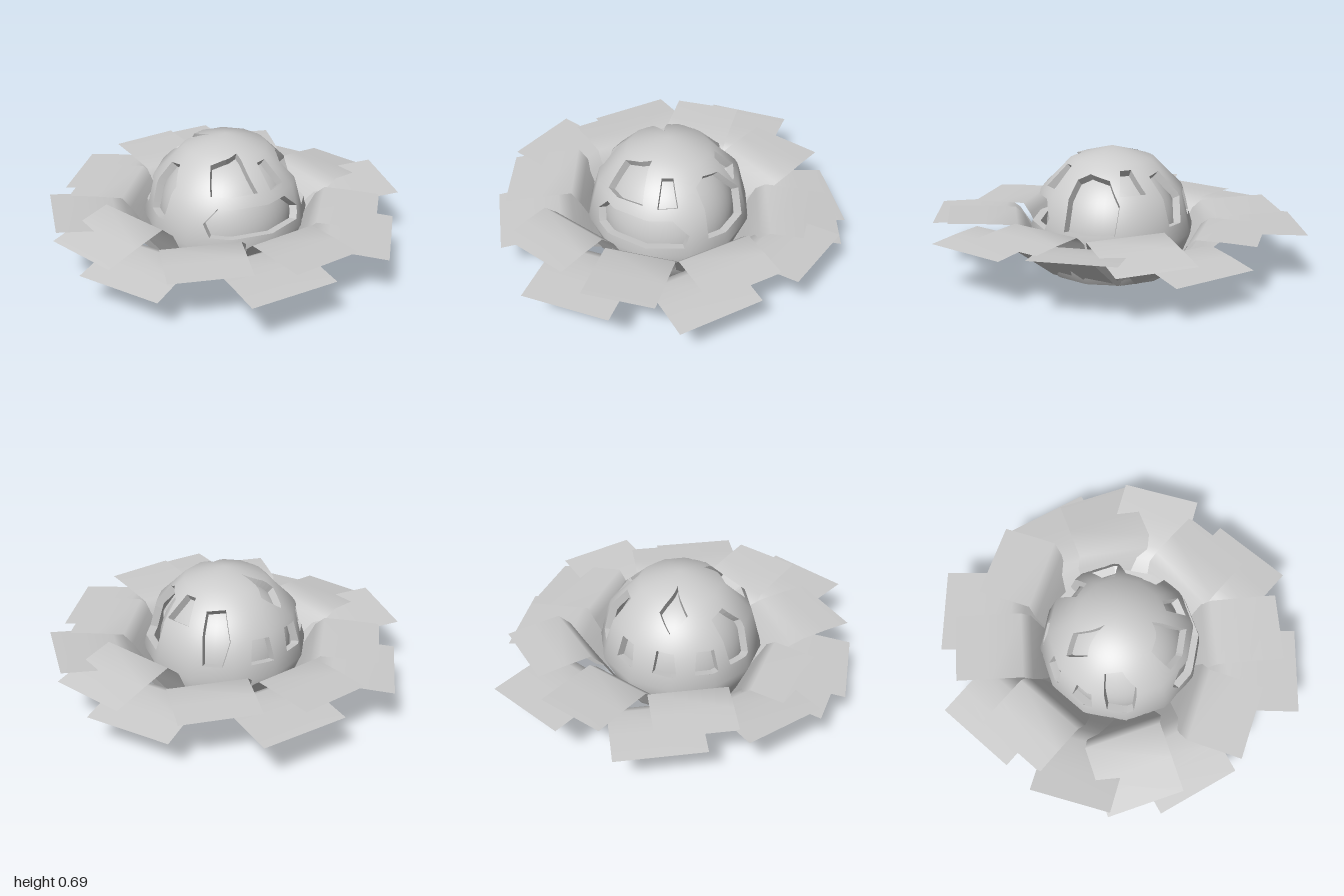
import * as THREE from 'three';

const RAD = Math.PI / 180;
const { lerp, clamp } = THREE.MathUtils;
const CENTRE = { y: 0.23, z: 0.02 };

// Dome rings from base to crown: latitude, radius, height
const RINGS = [[-30, 0.36, 0], [0, 0.455, 0.23], [30, 0.394, 0.457], [60, 0.228, 0.624], [90, 0, 0.685]];

// Window outlines as [azimuth from the front, latitude] in degrees
const box = (a) => [[a - 9, 10], [a + 9, 10], [a + 7, 27], [a - 7, 27]];
const WINDOWS = [
  [[-45, 6], [27, 6], [31, 15], [19, 26], [-40, 26], [-50, 15]],          // wide front
  [[46, 8], [84, 8], [88, 28], [80, 47], [58, 52], [45, 46], [46, 25]],   // tall, left side
  [[7, 34], [24, 35], [22, 55], [8, 55]],                                 // small upper front
  [[-46, 34], [-6, 35], [-14, 67], [-52, 56]],                            // large upper front
  [[88, 35], [112, 35], [106, 55], [92, 55]],                             // upper left side
  [[128, 10], [142, 10], [148, 28], [145, 50], [125, 48]],                // tall, back left
  [[-153, 40], [-135, 52], [-151, 77], [-168, 53]],                       // diamond at the back
  [[-104, 10], [-84, 10], [-80, 35], [-92, 50], [-110, 46]],              // tall, right side
  box(172), box(-155), box(-124),                                         // low back row
];

// Point on the twelve-sided dome
function domePoint(az, lat, scale) {
  const i = clamp(Math.floor((lat + 30) / 30), 0, 3);
  const t = (lat - RINGS[i][0]) / 30;
  const r = lerp(RINGS[i][1], RINGS[i + 1][1], t) * scale;
  const y = lerp(RINGS[i][2], RINGS[i + 1][2], t);
  const a0 = Math.floor(az / 30) * 30, f = (az - a0) / 30;
  const s = lerp(Math.sin(a0 * RAD), Math.sin((a0 + 30) * RAD), f);
  const c = lerp(Math.cos(a0 * RAD), Math.cos((a0 + 30) * RAD), f);
  const h = lat < 0 ? y : CENTRE.y + (y - CENTRE.y) * scale;
  return new THREE.Vector3(r * s, h, r * c + CENTRE.z);
}

// Halve triangles at their longest edge until all edges are short
function subdivide(tris, limit) {
  const out = [], stack = [...tris];
  while (stack.length) {
    let [a, b, c] = stack.pop();
    const ab = a.distanceToSquared(b), bc = b.distanceToSquared(c), ca = c.distanceToSquared(a);
    const longest = Math.max(ab, bc, ca);
    if (longest <= limit * limit) {
      out.push([a, b, c]);
      continue;
    }
    if (longest === bc) [a, b, c] = [b, c, a];
    else if (longest === ca) [a, b, c] = [c, a, b];
    const m = a.clone().add(b).multiplyScalar(0.5);
    stack.push([a, m, c], [m, b, c]);
  }
  return out;
}

// Thick shell: a flat map with window holes, extruded and wrapped round the dome
function shellGeometry() {
  const outline = [];
  for (let a = -172; a <= 188; a += 30) outline.push(new THREE.Vector2(a, -30));
  for (let a = 188; a >= -172; a -= 30) outline.push(new THREE.Vector2(a, 90));
  const shape = new THREE.Shape(outline);
  for (const w of WINDOWS) shape.holes.push(new THREE.Path(w.map(([a, l]) => new THREE.Vector2(a, l))));
  const flat = new THREE.ExtrudeGeometry(shape, { depth: 1, bevelEnabled: false });
  const src = flat.attributes.position;
  let tris = [];
  for (let i = 0; i < src.count; i += 3) {
    tris.push([0, 1, 2].map((k) => new THREE.Vector3().fromBufferAttribute(src, i + k)));
  }
  tris = subdivide(tris, 5);
  const points = tris.flat().map((p) => domePoint(p.x, p.y, 0.9 + 0.1 * p.z));
  const geo = new THREE.BufferGeometry().setFromPoints(points);
  geo.computeVertexNormals();

  // Smooth the outer and inner skins, keep the window reveals sharp
  const normal = geo.attributes.normal, out = new THREE.Vector3();
  tris.forEach(([a, b, c], t) => {
    if (a.z !== b.z || b.z !== c.z) return;
    for (let i = t * 3; i < t * 3 + 3; i++) {
      const p = points[i];
      out.set(p.x, p.y - CENTRE.y, p.z - CENTRE.z).normalize().multiplyScalar(a.z > 0.5 ? 1 : -1);
      normal.setXYZ(i, out.x, out.y, out.z);
    }
  });
  return geo;
}

// Petal: a pointed foot at the base, rising to the bend and running out to the tip
function petalGeometry([cx, cz, az, width, crease, tip], bend) {
  const dx = Math.sin(az * RAD), dz = Math.cos(az * RAD);
  const reach = cx * dx + cz * dz;
  const side = cx * dz - cz * dx;
  const foot = 0.34;
  const profile = [
    [foot, 0], [lerp(foot, bend, 0.4), crease * 0.45], [lerp(foot, bend, 0.74), crease * 0.85],
    [bend, crease], [(bend + reach) / 2, (crease + tip) / 2 + 0.003], [reach, tip],
  ];
  const geo = new THREE.PlaneGeometry(width, 1, 1, profile.length - 1);
  const pos = geo.attributes.position;
  for (let i = 0; i < pos.count; i++) {
    const [d, y] = profile[profile.length - 1 - Math.floor(i / 2)];
    const t = clamp((d - foot) / (bend - foot), 0, 1);
    const s = side * lerp(0.4, 1, t) + pos.getX(i) * lerp(0.3, 1, Math.min(1, t * 1.8));
    pos.setXYZ(i, dx * d + dz * s, y, dz * d - dx * s);
  }
  geo.computeVertexNormals();
  return geo;
}

// Half of the petals: tip centre x, z, heading, width, crease height, tip height
const UPPER = [
  [0, 0.905, 0, 0.38, 0.305, 0.325],
  [0.575, 0.62, 45, 0.42, 0.32, 0.305],
  [0.925, -0.08, 105, 0.425, 0.33, 0.265],
  [0.535, -0.69, 157, 0.42, 0.315, 0.305],
];
const LOWER = [
  [0.5, 0.815, 45, 0.467, 0.285, 0.265],
  [0.25, -0.975, 175, 0.47, 0.285, 0.275],
  [0.87, -0.37, 115.5, 0.47, 0.24, 0.2],
  [0.89, 0.32, 70, 0.44, 0.28, 0.315],
];

export function createModel() {
  const model = new THREE.Group();
  model.name = 'flowerDome';
  const thin = new THREE.MeshStandardMaterial({ color: 0xcccccc, side: THREE.DoubleSide });

  const shell = new THREE.Mesh(shellGeometry(), new THREE.MeshStandardMaterial({ color: 0xcccccc }));
  shell.name = 'windowedShell';
  model.add(shell);

  // Smooth hollow ball behind the windows, open at the base
  const radius = 0.365;
  const ball = new THREE.Mesh(
    new THREE.SphereGeometry(radius, 48, 32, 0, Math.PI * 2, 0, Math.acos(-CENTRE.y / radius)), thin);
  ball.name = 'innerBall';
  ball.position.set(0, CENTRE.y, CENTRE.z);
  model.add(ball);

  // Two tiers of petals, each half repeated by a half turn
  for (const [name, list, bend] of [['upperPetals', UPPER, 0.54], ['lowerPetals', LOWER, 0.61]]) {
    const tier = new THREE.Group();
    tier.name = name;
    tier.position.z = 0.01;
    for (const spec of list) {
      const geo = petalGeometry(spec, bend);
      for (const turn of [0, Math.PI]) {
        const petal = new THREE.Mesh(geo, thin);
        petal.name = 'petal';
        petal.rotation.y = turn;
        tier.add(petal);
      }
    }
    model.add(tier);
  }
  return model;
}
